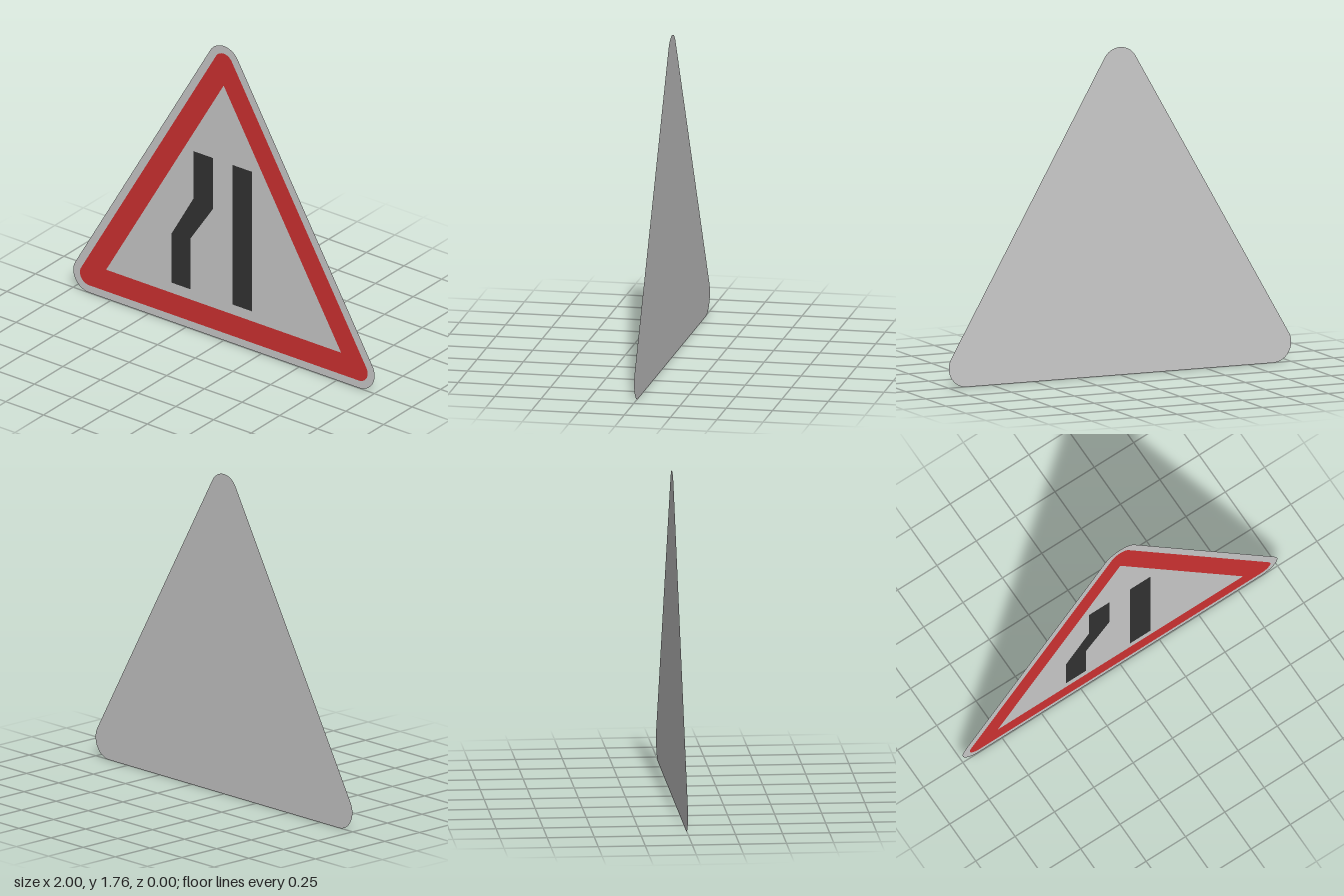
import * as THREE from 'three';

const GREY = 0xcccccc, RED = 0xd13232, BLACK = 0x333333;

// Triangle with rounded corners: arcs of radius r around three shared centres
function roundedTriangle(r) {
  const cx = 0.895, low = 0.105, high = 1.655;
  const shape = new THREE.Shape();
  const third = Math.PI * 2 / 3, start = -Math.PI / 2;
  [[cx, low], [0, high], [-cx, low]].forEach(([x, y], i) => {
    shape.absarc(x, y, r, start + i * third, start + (i + 1) * third, false);
  });
  shape.closePath();
  return shape;
}

const polygon = (points) => new THREE.Shape(points.map(([x, y]) => new THREE.Vector2(x, y)));

export function createModel() {
  const group = new THREE.Group();
  group.name = 'roadSign';

  // Each part is a thin sheet, stacked slightly in front of the one before
  const addSheet = (name, shape, color, layer, side = THREE.FrontSide) => {
    const material = new THREE.MeshStandardMaterial({ color, side });
    const mesh = new THREE.Mesh(new THREE.ShapeGeometry(shape, 16), material);
    mesh.name = name;
    mesh.position.z = (layer - 1.5) * 0.0015;
    group.add(mesh);
  };

  // Backing plate, seen from both sides
  addSheet('plate', roundedTriangle(0.105), GREY, 0, THREE.DoubleSide);

  // Red border and the pale field inside it
  addSheet('border', roundedTriangle(0.06), RED, 1);
  addSheet('field', polygon([[-0.78, 0.175], [0.78, 0.175], [0, 1.525]]), GREY, 2);

  // Lane markings: a straight right edge and a narrowing left edge
  addSheet('straightLane', polygon([[0.06, 0.235], [0.19, 0.235], [0.19, 1.07], [0.06, 1.07]]), BLACK, 3);
  addSheet('narrowingLane', polygon([
    [-0.345, 0.237], [-0.22, 0.237], [-0.22, 0.54], [-0.07, 0.765],
    [-0.07, 1.07], [-0.2, 1.07], [-0.2, 0.785], [-0.345, 0.53],
  ]), BLACK, 3);

  return group;
}
